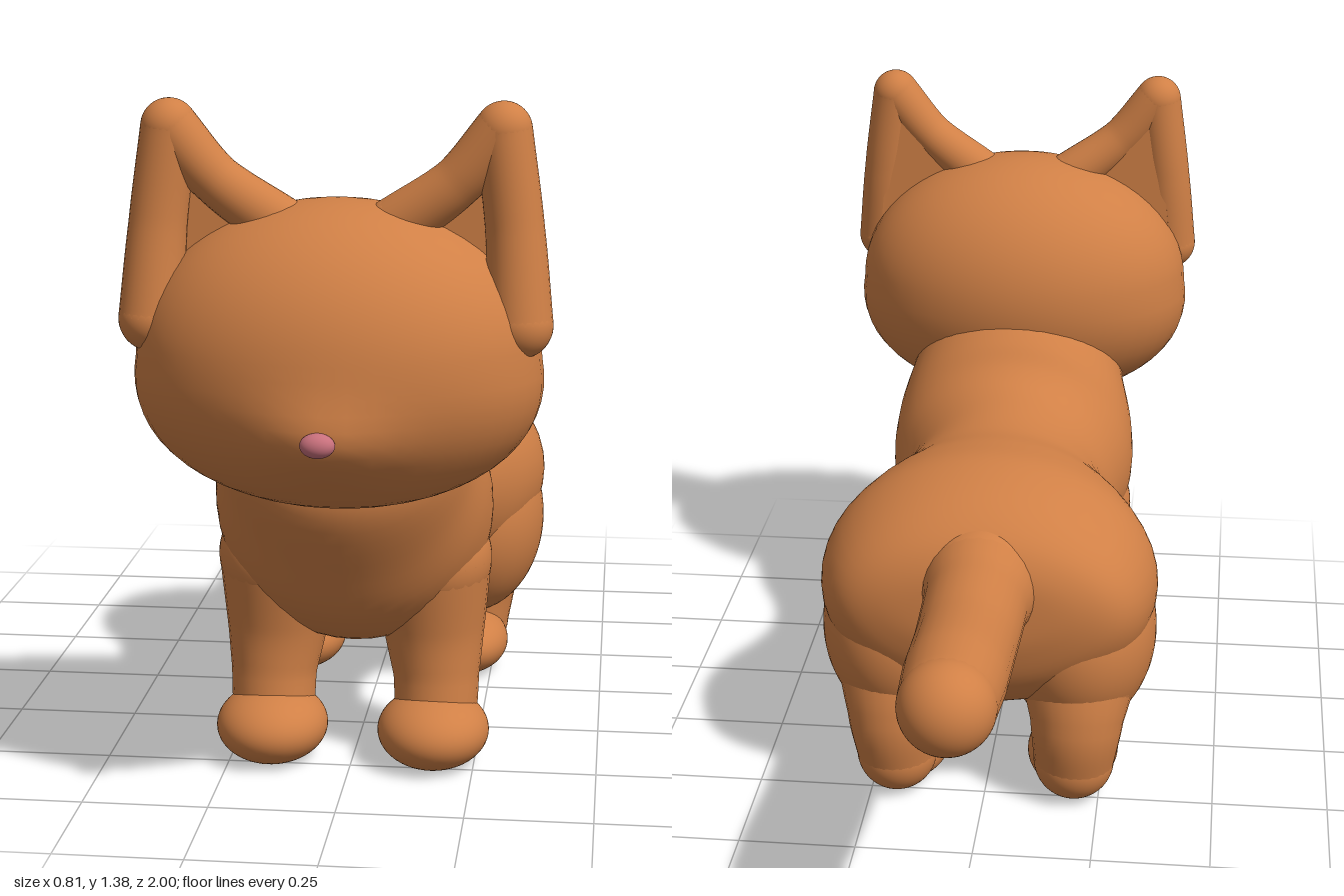
import * as THREE from 'three';
import { mergeVertices, mergeGeometries } from 'three/addons/utils/BufferGeometryUtils.js';

const fur = new THREE.MeshStandardMaterial({ color: 0xd08046 });
fur.name = 'orange fur';
const pink = new THREE.MeshStandardMaterial({ color: 0xc8707c });
pink.name = 'pink nose';

// Weld seams and smooth the normals
function smooth(geo) {
  geo.deleteAttribute('uv');
  geo.deleteAttribute('normal');
  const welded = mergeVertices(geo, 1e-4);
  welded.computeVertexNormals();
  return welded;
}

function part(name, geo, material = fur) {
  const mesh = new THREE.Mesh(geo, material);
  mesh.name = name;
  return mesh;
}

// Ellipsoid, optionally reshaped by a rule on each vertex
function blob(center, radii, rule) {
  const geo = new THREE.SphereGeometry(1, 48, 32);
  const p = geo.attributes.position;
  const v = new THREE.Vector3();
  for (let i = 0; i < p.count; i++) {
    v.fromBufferAttribute(p, i);
    const unit = v.clone();
    v.multiply(new THREE.Vector3(...radii)).add(new THREE.Vector3(...center));
    if (rule) rule(v, unit);
    p.setXYZ(i, v.x, v.y, v.z);
  }
  return smooth(geo);
}

// Round-ended tube through points [x, y, z, radius]
function limb(points, steps = 24) {
  const curve = new THREE.CatmullRomCurve3(points.map(q => new THREE.Vector3(q[0], q[1], q[2])));
  const sides = 28;
  const geo = new THREE.TubeGeometry(curve, steps, 1, sides);
  const p = geo.attributes.position;
  const n = geo.attributes.normal;
  for (let i = 0; i <= steps; i++) {
    const c = curve.getPointAt(i / steps);
    const f = curve.getUtoTmapping(i / steps) * (points.length - 1);
    const k = Math.min(Math.floor(f), points.length - 2);
    const r = THREE.MathUtils.lerp(points[k][3], points[k + 1][3], f - k);
    for (let j = 0; j <= sides; j++) {
      const id = i * (sides + 1) + j;
      p.setXYZ(id, c.x + n.getX(id) * r, c.y + n.getY(id) * r, c.z + n.getZ(id) * r);
    }
  }
  const ends = [points[0], points[points.length - 1]].map(q => blob(q.slice(0, 3), [q[3], q[3], q[3]]));
  return mergeGeometries([smooth(geo), ...ends]);
}

// Elliptical loft; each row is [top z, top y, bottom z, bottom y, half width]
function loft(rows, steps = 72, sides = 48) {
  const top = new THREE.CatmullRomCurve3(rows.map(r => new THREE.Vector3(r[4], r[1], r[0])));
  const bottom = new THREE.CatmullRomCurve3(rows.map(r => new THREE.Vector3(r[4], r[3], r[2])));
  const pos = [];
  const index = [];
  for (let i = 0; i <= steps; i++) {
    const t = top.getPoint(i / steps);
    const b = bottom.getPoint(i / steps);
    const w = Math.max(0, (t.x + b.x) / 2);
    for (let j = 0; j < sides; j++) {
      const a = (j / sides) * Math.PI * 2;
      const k = (1 + Math.cos(a)) / 2;
      pos.push(w * Math.sin(a), b.y + (t.y - b.y) * k, b.z + (t.z - b.z) * k);
      if (i === steps) continue;
      const p = i * sides + j;
      const q = i * sides + ((j + 1) % sides);
      index.push(p, p + sides, q, q, p + sides, q + sides);
    }
  }
  const geo = new THREE.BufferGeometry();
  geo.setAttribute('position', new THREE.Float32BufferAttribute(pos, 3));
  geo.setIndex(index);
  return smooth(geo);
}

const flatSole = v => { v.y = Math.max(0, v.y); };

export function createModel() {
  const model = new THREE.Group();
  model.name = 'kitten';

  // Rump, belly, chest and neck
  model.add(part('body', loft([
    [-0.375, 0.49, -0.375, 0.49, 0],
    [-0.365, 0.60, -0.368, 0.40, 0.20],
    [-0.325, 0.665, -0.335, 0.31, 0.295],
    [-0.25, 0.715, -0.26, 0.235, 0.345],
    [-0.13, 0.747, -0.13, 0.20, 0.365],
    [-0.02, 0.742, -0.02, 0.21, 0.335],
    [0.08, 0.73, 0.08, 0.24, 0.275],
    [0.18, 0.737, 0.18, 0.247, 0.242],
    [0.27, 0.755, 0.30, 0.245, 0.255],
    [0.32, 0.785, 0.44, 0.25, 0.28],
    [0.36, 0.83, 0.54, 0.32, 0.278],
    [0.42, 0.88, 0.61, 0.43, 0.255],
    [0.50, 0.92, 0.68, 0.57, 0.22],
    [0.60, 0.80, 0.66, 0.70, 0],
  ])));

  // Head with full cheeks and a soft muzzle
  model.add(part('head', blob([0, 0.893, 0.667], [0.385, 0.295, 0.285], (v, u) => {
    v.x *= 1 + 0.15 * Math.max(0, -u.y);
    if (u.z > 0) {
      const d = (v.x / 0.13) ** 2 + ((v.y - 0.765) / 0.08) ** 2;
      v.z += 0.05 * u.z * Math.exp(-d);
    }
  })));
  model.add(part('nose', blob([0, 0.787, 0.978], [0.032, 0.023, 0.022]), pink));

  // Tail
  model.add(part('tail', limb([
    [0, 0.54, -0.30, 0.13],
    [0, 0.545, -0.42, 0.108],
    [0, 0.55, -0.60, 0.103],
    [0, 0.57, -0.78, 0.102],
    [0, 0.582, -0.905, 0.095],
  ])));

  for (const s of [1, -1]) {
    const side = s > 0 ? 'left' : 'right';

    // Ear: two rounded rims with a recessed panel between them
    const ear = new THREE.Group();
    ear.name = side + 'Ear';
    const tip = [s * 0.31, 1.322, 0.705, 0.053];
    ear.add(part('outerRim', limb([tip, [s * 0.333, 1.14, 0.712, 0.055], [s * 0.345, 0.965, 0.73, 0.062]])));
    ear.add(part('innerRim', limb([tip, [s * 0.225, 1.225, 0.70, 0.048], [s * 0.11, 1.14, 0.685, 0.055]])));
    const shape = new THREE.Shape([
      new THREE.Vector2(s * 0.31, 1.34),
      new THREE.Vector2(s * 0.12, 1.13),
      new THREE.Vector2(s * 0.2, 0.98),
      new THREE.Vector2(s * 0.35, 0.96),
    ]);
    const panel = new THREE.ExtrudeGeometry(shape, { depth: 0.045, bevelEnabled: false });
    panel.translate(0, 0, 0.66);
    ear.add(part('earPanel', panel));
    model.add(ear);

    // Front leg and paw
    const front = new THREE.Group();
    front.name = side + 'FrontLeg';
    front.add(part('leg', limb([
      [s * 0.155, 0.42, 0.40, 0.125],
      [s * 0.162, 0.27, 0.395, 0.104],
      [s * 0.168, 0.17, 0.408, 0.088],
      [s * 0.168, 0.09, 0.42, 0.085],
    ])));
    front.add(part('paw', blob([s * 0.166, 0.07, 0.455], [0.114, 0.078, 0.128], flatSole)));
    model.add(front);

    // Hind leg: thigh, hock and paw
    const hind = new THREE.Group();
    hind.name = side + 'HindLeg';
    hind.add(part('thigh', blob([s * 0.195, 0.365, -0.14], [0.17, 0.225, 0.205])));
    hind.add(part('hock', limb([
      [s * 0.2, 0.30, -0.19, 0.135],
      [s * 0.2, 0.19, -0.238, 0.102],
      [s * 0.195, 0.088, -0.235, 0.088],
    ])));
    hind.add(part('paw', blob([s * 0.187, 0.065, -0.145], [0.1, 0.072, 0.135], flatSole)));
    model.add(hind);
  }
  return model;
}
